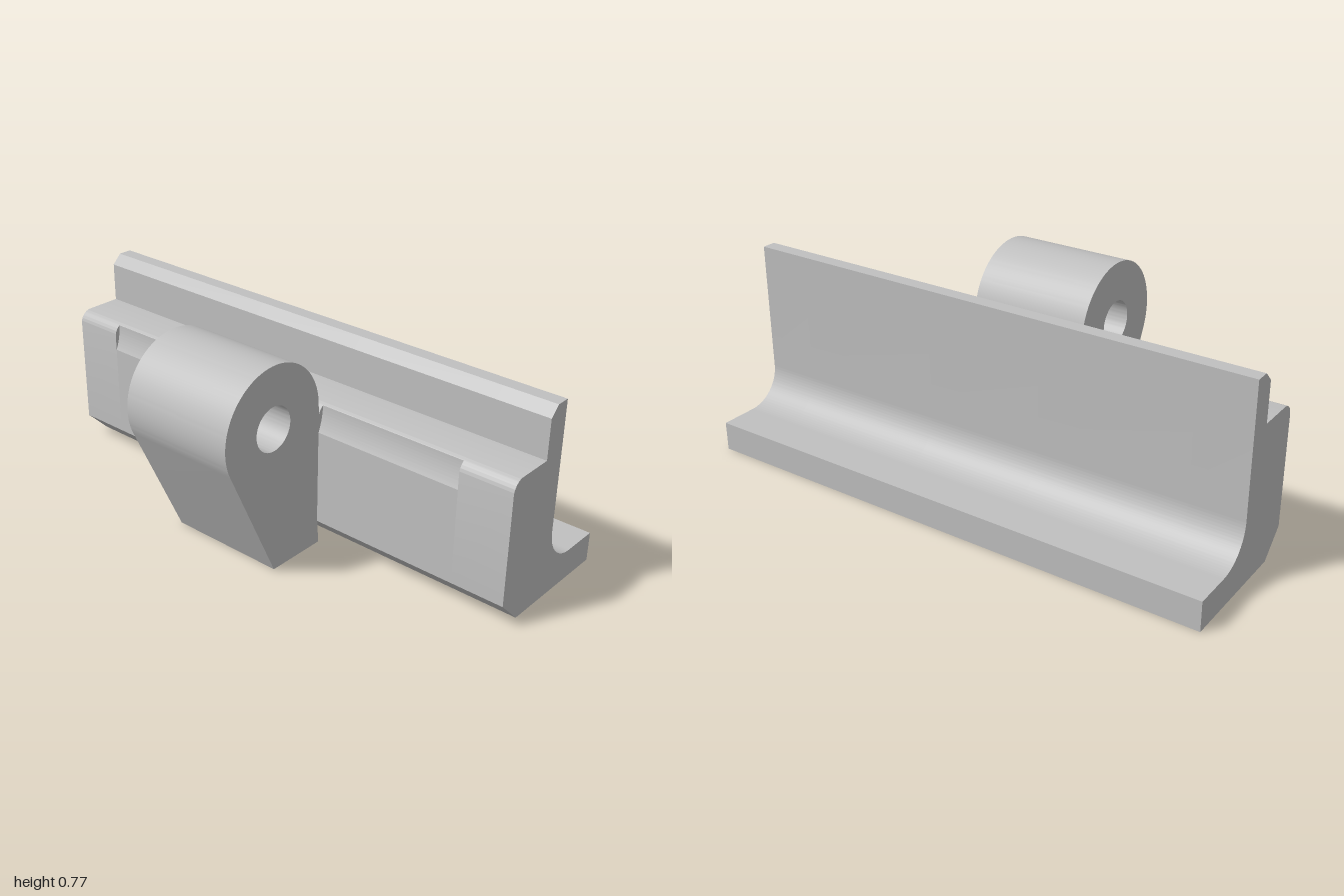
import * as THREE from 'three';
import { toCreasedNormals } from 'three/addons/utils/BufferGeometryUtils.js';

const PIVOT = { u: -0.273, y: 0.546, r: 0.227 }; // u = -z
const LUG = 0.227, GROOVE = 0.8, END = 1;

// Rail cross-section, optionally with the curved relief in its front face
function railProfile(grooved) {
  const s = new THREE.Shape();
  s.moveTo(0.045, 0);
  s.lineTo(0.5, 0);
  s.lineTo(0.5, 0.11);
  s.lineTo(0.36, 0.11);
  s.absarc(0.36, 0.245, 0.135, -Math.PI / 2, -Math.PI, true); // rear fillet
  s.lineTo(0.225, 0.73);
  s.lineTo(0.173, 0.73);
  s.lineTo(0.137, 0.694);
  s.lineTo(0.137, 0.547);
  s.lineTo(0.002, 0.547);
  s.absarc(0.002, 0.5, 0.047, Math.PI / 2, grooved ? 2.132 : Math.PI, false); // front rounding
  if (grooved) s.absarc(PIVOT.u, PIVOT.y, 0.25, -0.025, -0.4228, true);
  s.lineTo(-0.045, 0.09);
  s.closePath();
  return s;
}

// Teardrop lug with a pivot hole
function lugProfile() {
  const { u, y, r } = PIVOT;
  const s = new THREE.Shape();
  const tangent = Math.PI * 1.5 - Math.acos(r / y);
  s.moveTo(-0.038, 0);
  s.lineTo(u, 0);
  s.absarc(u, y, r, tangent, 0, true);
  s.lineTo(-0.044, 0.49);
  s.lineTo(-0.042, 0.09);
  s.closePath();
  const hole = new THREE.Path();
  hole.absarc(u, y, 0.082, 0, Math.PI * 2, false);
  s.holes.push(hole);
  return s;
}

// Extrude a side profile along x between two positions
function extrudeX(shape, x0, x1, material, name) {
  const flat = new THREE.ExtrudeGeometry(shape, { depth: x1 - x0, bevelEnabled: false, curveSegments: 40 });
  flat.rotateY(Math.PI / 2).translate(x0, 0, 0);
  const mesh = new THREE.Mesh(toCreasedNormals(flat, 0.35), material);
  mesh.name = name;
  return mesh;
}

export function createModel() {
  const group = new THREE.Group();
  group.name = 'hingeRail';
  const grey = new THREE.MeshStandardMaterial({ color: 0xc0c0c0 });
  grey.name = 'grey';

  // Rail: plain ends and centre, relieved on either side of the lug
  const plain = railProfile(false), relieved = railProfile(true);
  group.add(
    extrudeX(plain, -END, -GROOVE, grey, 'railRightEnd'),
    extrudeX(relieved, -GROOVE, -LUG, grey, 'railRightRelief'),
    extrudeX(plain, -LUG, LUG, grey, 'railCentre'),
    extrudeX(relieved, LUG, GROOVE, grey, 'railLeftRelief'),
    extrudeX(plain, GROOVE, END, grey, 'railLeftEnd'),
    extrudeX(lugProfile(), -LUG, LUG, grey, 'pivotLug')
  );
  return group;
}
